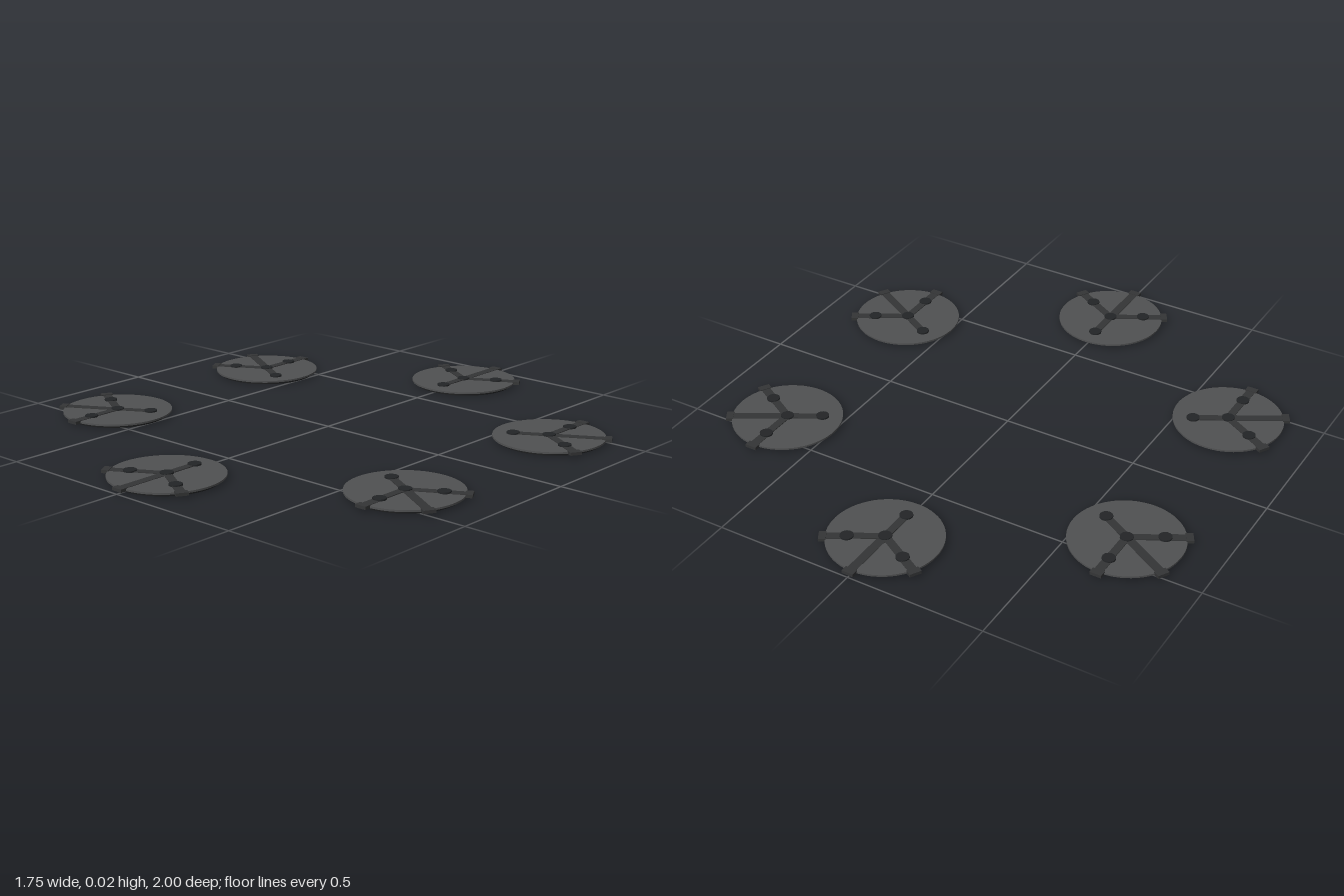
import * as THREE from 'three';

const paint = (color) => new THREE.MeshStandardMaterial({ color });
const RING = 0.783; // distance from the middle to each pad centre
const PAD = 0.197; // pad radius
const KNOB = 0.125; // distance from hub to outer knobs

function add(parent, name, geometry, material, x, y, z) {
  const mesh = new THREE.Mesh(geometry, material);
  mesh.name = name;
  mesh.position.set(x, y, z);
  parent.add(mesh);
  return mesh;
}

// Bar lying along +z from one radius to another
function bar(parent, name, material, width, from, to, bottom, top) {
  add(parent, name, new THREE.BoxGeometry(width, top - bottom, to - from), material,
    0, (bottom + top) / 2, (from + to) / 2);
}

function disc(parent, name, material, radius, bottom, top, z = 0, sides = 64) {
  add(parent, name, new THREE.CylinderGeometry(radius, radius, top - bottom, sides), material,
    0, (bottom + top) / 2, z);
}

// One round pad; its +z side points away from the middle
function createPad(mats) {
  const pad = new THREE.Group();
  pad.name = 'pad';
  disc(pad, 'base', mats.base, 0.182, 0, 0.011);
  disc(pad, 'plate', mats.plate, PAD, 0.01, 0.0165);
  disc(pad, 'hubKnob', mats.knob, 0.023, 0.015, 0.022, 0, 24);

  // Outward strip from the hub to the rim, with its clip
  bar(pad, 'outerStrip', mats.strip, 0.032, 0, 0.2, 0.015, 0.018);
  bar(pad, 'outerClip', mats.strip, 0.042, 0.192, 0.217, 0.009, 0.02);

  // Three jointed arms; the two side arms run on to the rim
  for (const turn of [60, 180, 300]) {
    const arm = new THREE.Group();
    arm.name = 'arm';
    arm.rotation.y = THREE.MathUtils.degToRad(turn);
    bar(arm, 'armRail', mats.strip, 0.028, 0, KNOB, 0.015, 0.019);
    disc(arm, 'armKnob', mats.knob, 0.023, 0.015, 0.022, KNOB, 24);
    if (turn !== 180) {
      bar(arm, 'armStrip', mats.strip, 0.032, KNOB, 0.2, 0.015, 0.018);
      bar(arm, 'armClip', mats.strip, 0.042, 0.192, 0.217, 0.009, 0.02);
    }
    pad.add(arm);
  }
  return pad;
}

export function createModel() {
  const model = new THREE.Group();
  model.name = 'padRing';
  const mats = {
    base: paint(0x1a1b1c), plate: paint(0x505152), strip: paint(0x343536), knob: paint(0x232527),
  };
  // Six pads around a circle
  for (let i = 0; i < 6; i++) {
    const angle = (i * Math.PI) / 3;
    const pad = createPad(mats);
    pad.position.set(Math.sin(angle) * RING, 0, Math.cos(angle) * RING);
    pad.rotation.y = angle;
    model.add(pad);
  }
  return model;
}
